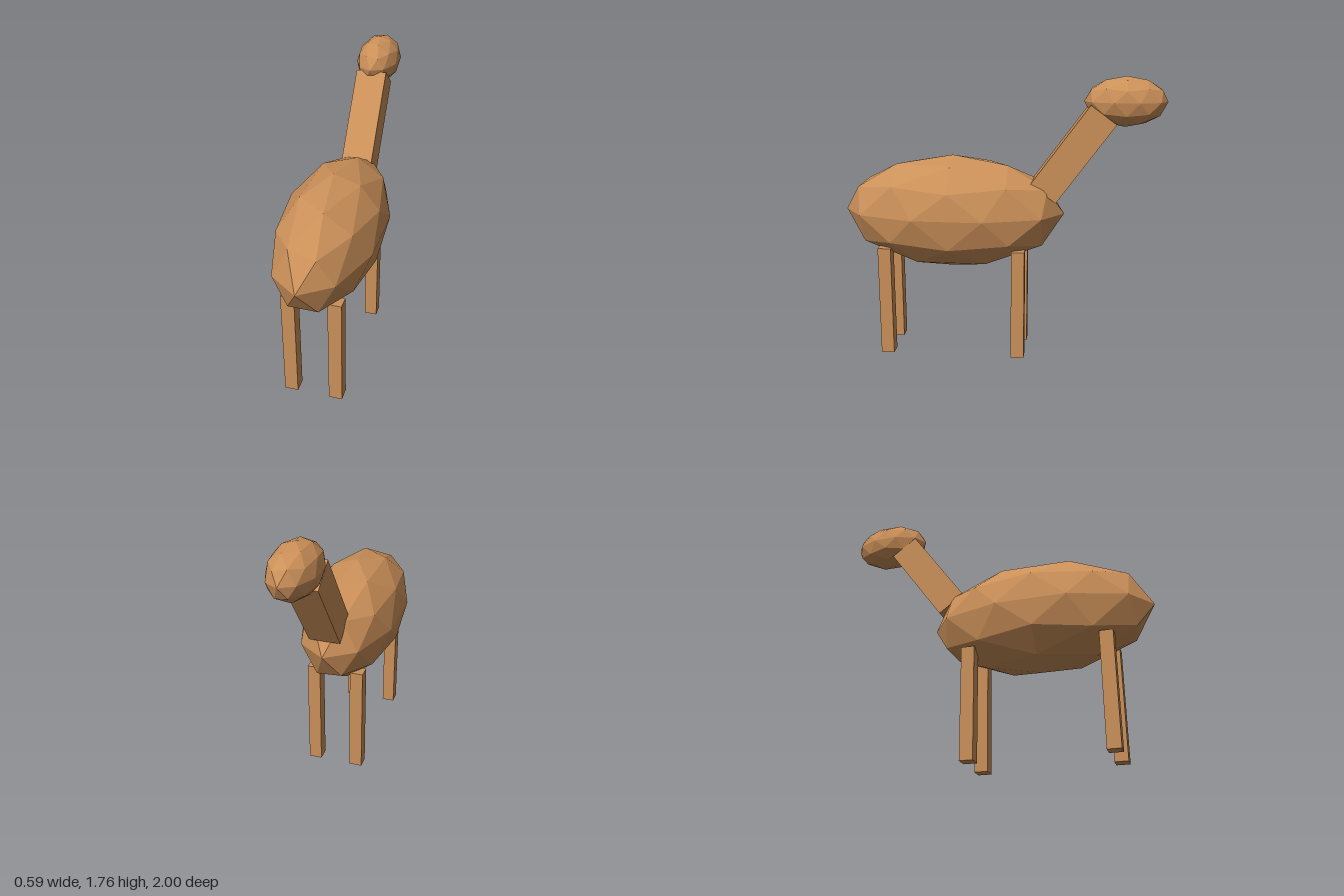
import * as THREE from 'three';

export function createModel() {
  const model = new THREE.Group();
  const fur = new THREE.MeshStandardMaterial({ color: 0xcb9059, flatShading: true });
  fur.name = 'tan fur';

  function add(name, geometry, x, y, z) {
    const mesh = new THREE.Mesh(geometry, fur);
    mesh.name = name;
    mesh.position.set(x, y, z);
    model.add(mesh);
    return mesh;
  }

  // Faceted ball with a vertex at the top, stretched along its axes
  function facetedBall(rx, ry, rz) {
    const geometry = new THREE.IcosahedronGeometry(1, 1);
    geometry.rotateX(-Math.atan((1 + Math.sqrt(5)) / 2));
    geometry.rotateY(Math.PI / 2);
    return geometry.scale(rx, ry, rz);
  }

  add('body', facetedBall(0.308, 0.361, 0.698), 0, 0.912, 0.302);
  add('head', facetedBall(0.138, 0.151, 0.249), 0, 1.612, -0.751);

  // Neck leaning towards the head
  const neck = add('neck', new THREE.BoxGeometry(0.194, 0.6, 0.194), 0, 1.297, -0.443);
  neck.rotation.x = -0.632;

  // Four square legs
  const legGeometry = new THREE.BoxGeometry(0.082, 0.7, 0.082);
  for (const [side, x] of [['left', 0.14], ['right', -0.14]]) {
    for (const [end, z] of [['Front', 0.72], ['Back', -0.12]]) {
      add(side + end + 'Leg', legGeometry, x, 0.35, z);
    }
  }

  return model;
}
